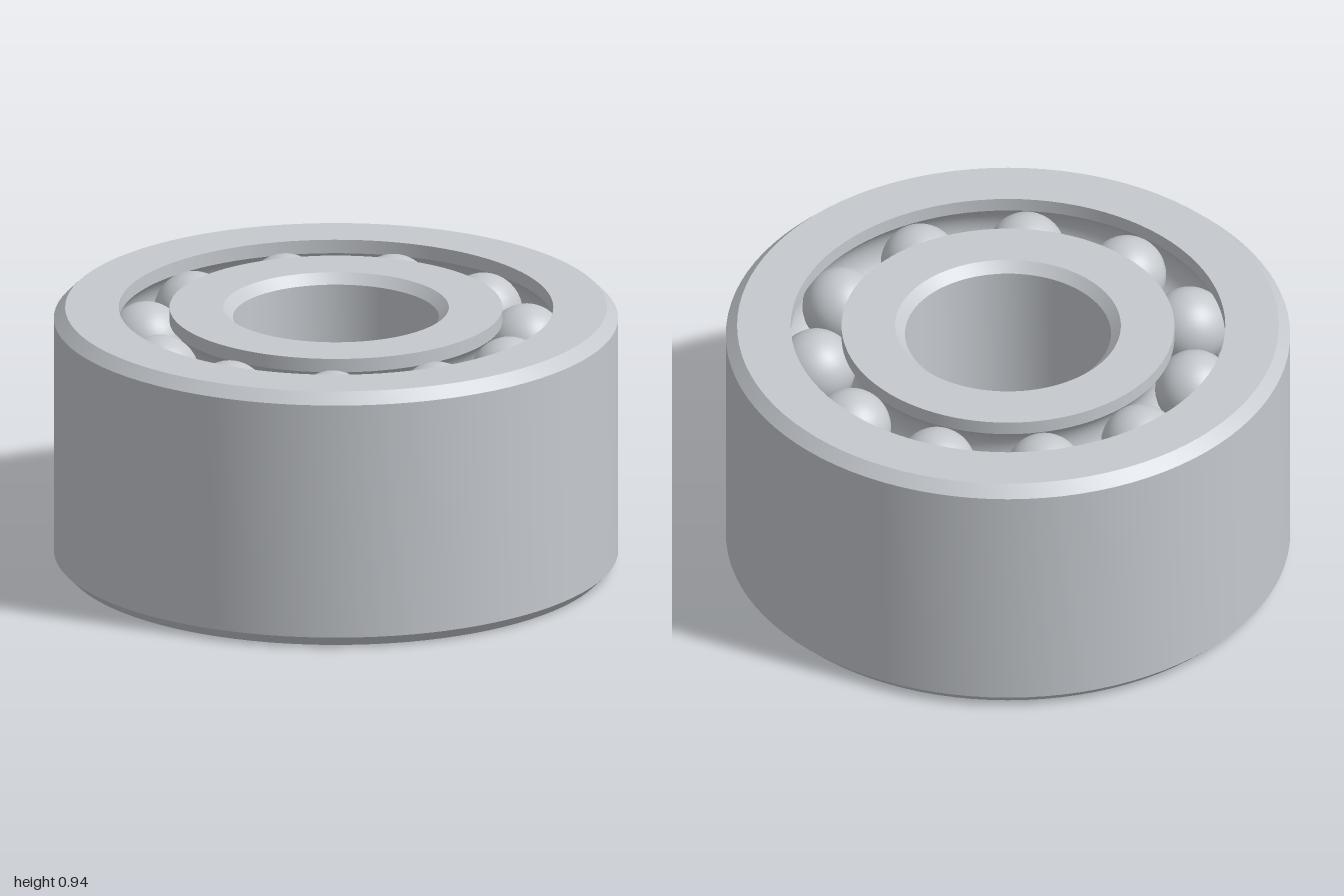
import * as THREE from 'three';
import { toCreasedNormals } from 'three/addons/utils/BufferGeometryUtils.js';

const HEIGHT = 0.945;
const PITCH = 0.68;           // radius of the circle the balls run on
const BALL_RADIUS = 0.14;
const BALLS_PER_ROW = 11;
const ROWS = [0.16, HEIGHT - 0.16];
const OUTER_WALL = 0.77;
const INNER_WALL = 0.59;

// Round raceway groove: arc points about the ball centre, from angle a to b
function groove(y, a, b, steps = 12) {
  const r = BALL_RADIUS + 0.002;
  const points = [];
  for (let i = 0; i <= steps; i++) {
    const t = a + ((b - a) * i) / steps;
    points.push([PITCH + r * Math.cos(t), y + r * Math.sin(t)]);
  }
  return points;
}

// Closed profile turned about the y axis, with sharp edges kept
function ring(name, profile, material) {
  const points = profile.map(([x, y]) => new THREE.Vector2(x, y));
  const geometry = toCreasedNormals(new THREE.LatheGeometry(points, 96), 0.5);
  const mesh = new THREE.Mesh(geometry, material);
  mesh.name = name;
  return mesh;
}

export function createModel() {
  const model = new THREE.Group();
  model.name = 'ballBearing';
  const steel = new THREE.MeshStandardMaterial({ color: 0xc5c9ce });
  steel.name = 'steel';

  const half = Math.acos((OUTER_WALL - PITCH) / (BALL_RADIUS + 0.002));

  // Outer ring: chamfered outside, two grooves inside
  model.add(ring('outerRing', [
    [OUTER_WALL, 0], [0.96, 0], [1, 0.04], [1, HEIGHT - 0.04], [0.96, HEIGHT], [OUTER_WALL, HEIGHT],
    ...groove(ROWS[1], half, -half),
    ...groove(ROWS[0], half, -half),
    [OUTER_WALL, 0],
  ], steel));

  // Inner ring: two grooves outside, chamfered bore
  model.add(ring('innerRing', [
    [0.4, 0], [INNER_WALL, 0],
    ...groove(ROWS[0], Math.PI + half, Math.PI - half),
    ...groove(ROWS[1], Math.PI + half, Math.PI - half),
    [INNER_WALL, HEIGHT], [0.4, HEIGHT], [0.365, HEIGHT - 0.035], [0.365, 0.035], [0.4, 0],
  ], steel));

  // Two rows of balls
  const ballGeometry = new THREE.SphereGeometry(BALL_RADIUS, 32, 20);
  ROWS.forEach((y, row) => {
    const balls = new THREE.Group();
    balls.name = row === 0 ? 'lowerBalls' : 'upperBalls';
    for (let i = 0; i < BALLS_PER_ROW; i++) {
      const a = (i / BALLS_PER_ROW) * Math.PI * 2;
      const ball = new THREE.Mesh(ballGeometry, steel);
      ball.name = 'ball';
      ball.position.set(PITCH * Math.cos(a), y, PITCH * Math.sin(a));
      balls.add(ball);
    }
    model.add(balls);
  });

  return model;
}
